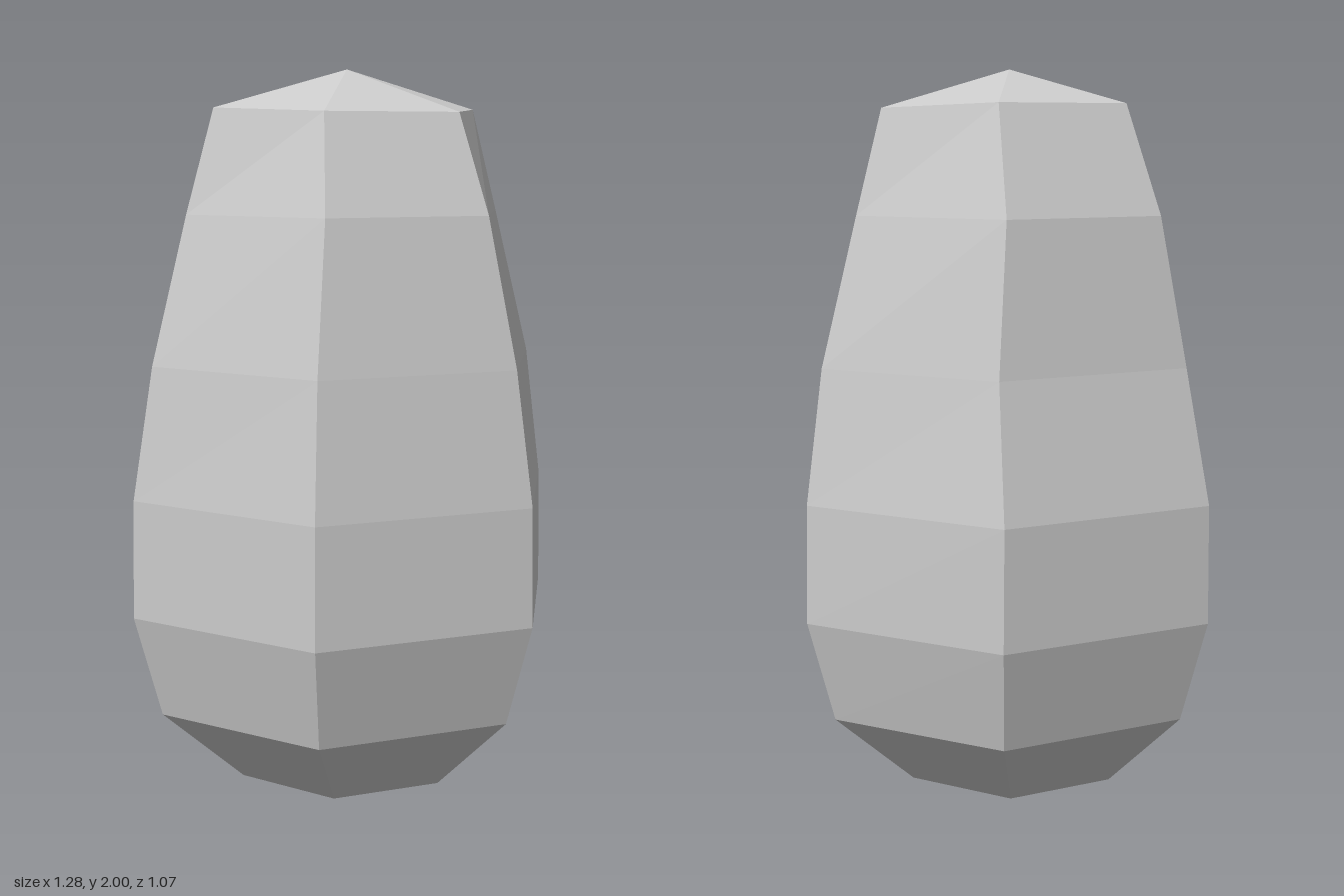
import * as THREE from 'three';

// Hexagonal rings from base to shoulder: [half width, front z, back z, side z, front y, back y]
const RINGS = [
  [0.32, 0.285, -0.285, 0, 0, 0],
  [0.56, 0.465, -0.465, 0, 0.21, 0.21],
  [0.64, 0.535, -0.535, 0, 0.495, 0.495],
  [0.635, 0.53, -0.535, 0, 0.825, 0.825],
  [0.58, 0.483, -0.458, 0.012, 1.195, 1.195],
  [0.475, 0.412, -0.403, 0.006, 1.605, 1.605],
  [0.395, 0.312, -0.288, 0.01, 1.88, 1.905],
];

// Six corners of a ring, counter-clockwise seen from below, starting at the left side
function ringPoints([w, front, back, side, yf, yb]) {
  const ym = (yf + yb) / 2;
  return [
    [w, ym, side], [w / 2, yb, back], [-w / 2, yb, back],
    [-w, ym, side], [-w / 2, yf, front], [w / 2, yf, front],
  ];
}

export function createModel() {
  const group = new THREE.Group();
  group.name = 'stone';
  const material = new THREE.MeshStandardMaterial({ color: 0xcccccc, flatShading: true });
  const rings = RINGS.map(ringPoints);
  const add = (name, triangles) => {
    const geometry = new THREE.BufferGeometry();
    geometry.setAttribute('position', new THREE.Float32BufferAttribute(triangles.flat(), 3));
    geometry.computeVertexNormals();
    const mesh = new THREE.Mesh(geometry, material);
    mesh.name = name;
    group.add(mesh);
  };

  // Faceted sides, base cap and pointed crown
  const sides = [], base = [], crown = [];
  const apex = [0, 2, 0.01], baseCentre = [0, 0.01, 0];
  for (let i = 0; i < 6; i++) {
    const j = (i + 1) % 6;
    for (let k = 0; k < rings.length - 1; k++) {
      const [a, b, c, d] = [rings[k][i], rings[k][j], rings[k + 1][j], rings[k + 1][i]];
      sides.push(a, b, c, a, c, d);
    }
    base.push(baseCentre, rings[0][j], rings[0][i]);
    crown.push(rings.at(-1)[i], rings.at(-1)[j], apex);
  }
  add('sides', sides);
  add('base', base);
  add('crown', crown);
  return group;
}
